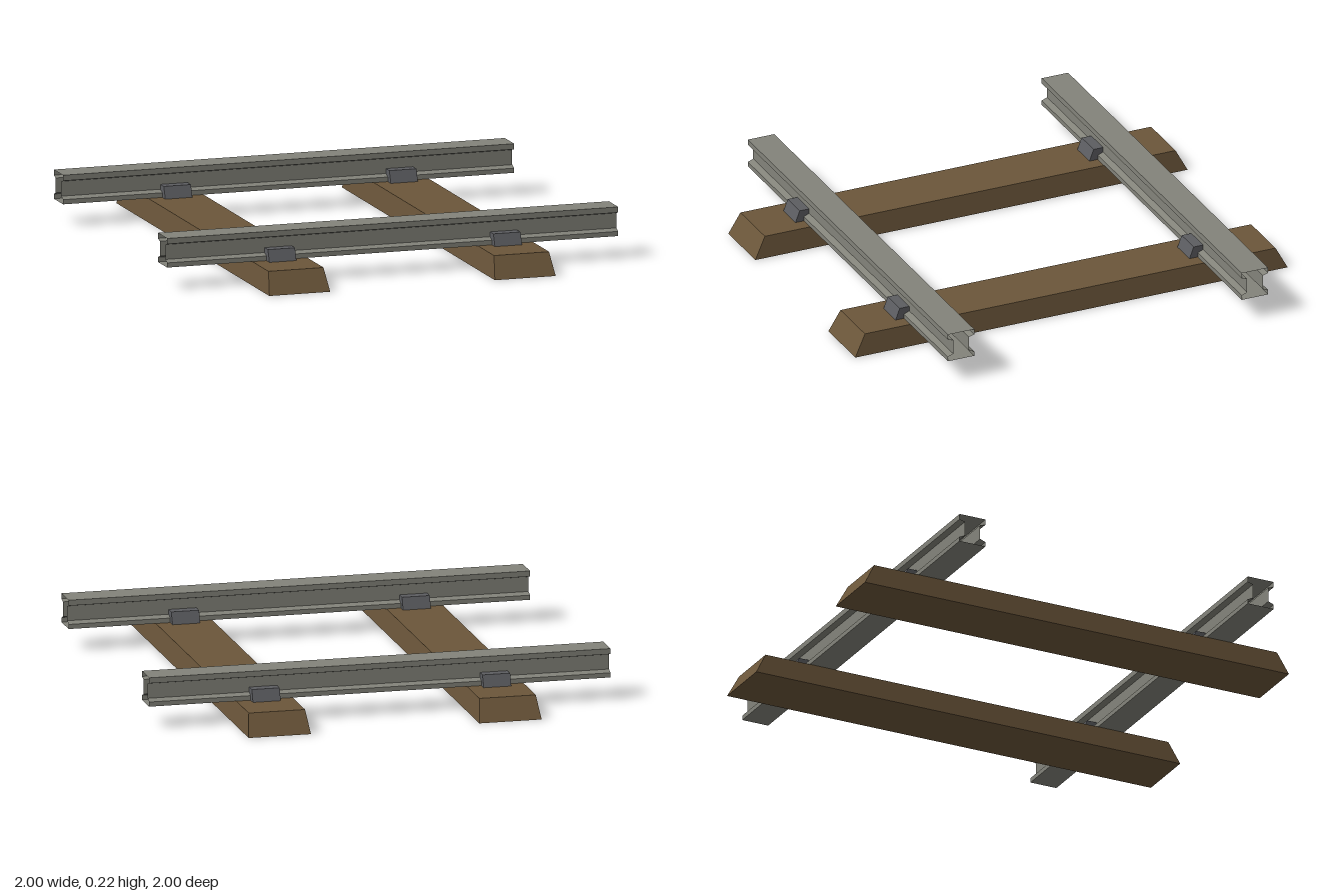
import * as THREE from 'three';

const wood = new THREE.MeshStandardMaterial({ color: 0x6b563a, flatShading: true });
wood.name = 'sleeperWood';
const steel = new THREE.MeshStandardMaterial({ color: 0x83837a, flatShading: true, side: THREE.DoubleSide });
steel.name = 'railSteel';
const iron = new THREE.MeshStandardMaterial({ color: 0x5c5d61, flatShading: true });
iron.name = 'clipIron';

// Box standing on y = 0 whose top face is narrowed to topW x topD
function taperedBox(w, h, d, topW, topD) {
  const geo = new THREE.BoxGeometry(w, h, d).translate(0, h / 2, 0);
  const p = geo.attributes.position;
  for (let i = 0; i < p.count; i++) {
    if (p.getY(i) > h / 2) {
      p.setX(i, p.getX(i) * topW / w);
      p.setZ(i, p.getZ(i) * topD / d);
    }
  }
  geo.computeVertexNormals();
  return geo;
}

// Hollow, open-ended I-shaped rail swept along x
function railGeometry(length) {
  const half = [[0.061, 0.095], [0.061, 0.115], [0.036, 0.125], [0.036, 0.189], [0.061, 0.196], [0.061, 0.22]];
  const ring = [...half, ...half.map(([z, y]) => [-z, y]).reverse()];
  const pos = [];
  ring.forEach(([z0, y0], i) => {
    const [z1, y1] = ring[(i + 1) % ring.length];
    const a = [-length / 2, y0, z0], b = [length / 2, y0, z0];
    const c = [length / 2, y1, z1], d = [-length / 2, y1, z1];
    pos.push(...a, ...b, ...c, ...a, ...c, ...d);
  });
  const geo = new THREE.BufferGeometry();
  geo.setAttribute('position', new THREE.Float32BufferAttribute(pos, 3));
  geo.computeVertexNormals();
  return geo;
}

export function createModel() {
  const model = new THREE.Group();
  model.name = 'railwayTrack';
  const add = (name, geo, mat, x, y, z) => {
    const mesh = new THREE.Mesh(geo, mat);
    mesh.name = name;
    mesh.position.set(x, y, z);
    model.add(mesh);
  };

  const sleeper = taperedBox(0.27, 0.095, 2, 0.244, 1.9);
  const rail = railGeometry(2);
  const clip = taperedBox(0.12, 0.052, 0.2, 0.12, 0.16);

  // Two sleepers, two rails, and a clip at each crossing
  for (const x of [-0.5, 0.5]) add('sleeper', sleeper, wood, x, 0, 0);
  for (const z of [-0.68, 0.68]) {
    add('rail', rail, steel, 0, 0, z);
    for (const x of [-0.5, 0.5]) add('railClip', clip, iron, x, 0.094, z);
  }
  return model;
}
